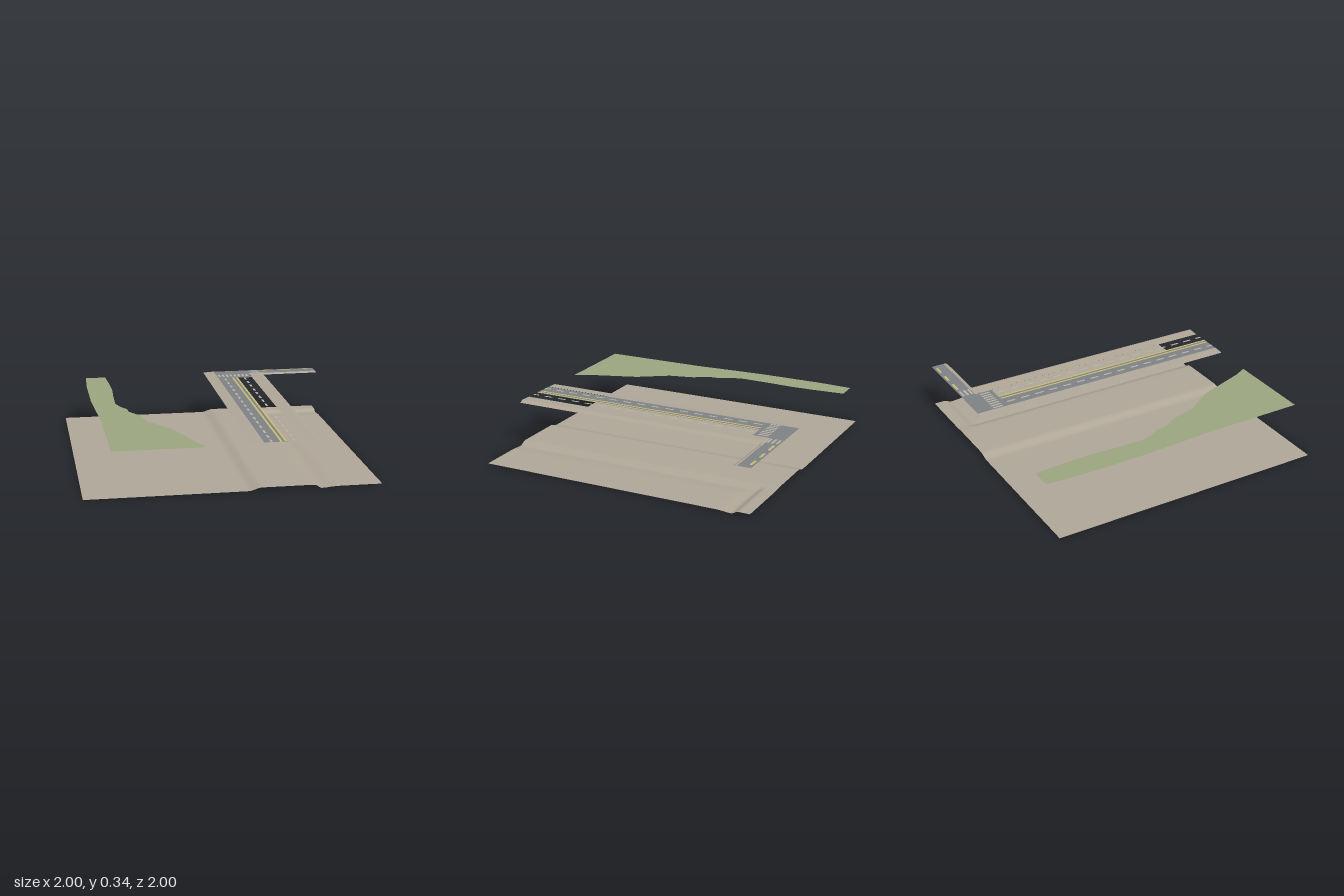
import * as THREE from 'three';

const mat = (name, color) => {
  const m = new THREE.MeshStandardMaterial({ color, side: THREE.DoubleSide });
  m.name = name;
  return m;
};

export function createModel() {
  const model = new THREE.Group();
  const tan = mat('earthTan', 0xb1a899);
  const asphalt = mat('asphaltGrey', 0x7f8386);
  const grass = mat('grassGreen', 0x9ca781);
  const yellow = mat('lineYellow', 0xc9bd74);
  const pale = mat('markingPale', 0xb9b2a4);
  const ROAD = 0.335, MARK = 0.3375;

  const add = (name, geometry, material, parent = model) => {
    const mesh = new THREE.Mesh(geometry, material);
    mesh.name = name;
    parent.add(mesh);
    return mesh;
  };
  // Flat horizontal sheet from [x, z] corners
  const sheet = (points, y) => {
    const shape = new THREE.Shape(points.map(([x, z]) => new THREE.Vector2(x, -z)));
    return new THREE.ShapeGeometry(shape).rotateX(-Math.PI / 2).translate(0, y, 0);
  };
  const rect = (x0, x1, z0, z1, y) => sheet([[x0, z0], [x1, z0], [x1, z1], [x0, z1]], y);
  // Faceted surface between rows of [x, y, z] points
  const ribbon = (rows) => {
    const n = rows[0].length, index = [];
    for (let r = 0; r < rows.length - 1; r++) {
      for (let i = 0; i < n - 1; i++) {
        const a = r * n + i, b = a + n;
        index.push(a, b, a + 1, b, b + 1, a + 1);
      }
    }
    const g = new THREE.BufferGeometry();
    g.setAttribute('position', new THREE.Float32BufferAttribute(rows.flat(2), 3));
    g.setIndex(index);
    const flat = g.toNonIndexed();
    flat.computeVertexNormals();
    return flat;
  };

  // Terrain: raised bed under the roads, shallow ditch, low field on the right
  const step = THREE.MathUtils.smoothstep;
  const ground = new THREE.PlaneGeometry(2, 2, 120, 120).rotateX(-Math.PI / 2);
  const p = ground.attributes.position;
  for (let i = 0; i < p.count; i++) {
    const x = p.getX(i), z = p.getZ(i);
    const inField = Math.min(x - 0.54, z + 0.915);
    const bed = 0.005 + 0.021 * step(x, 0.09, 0.18) - 0.005 * step(x, 0.5, 0.6);
    const field = 0.001 + 0.008 * step(inField, 0.04, 0.16);
    p.setY(i, THREE.MathUtils.lerp(bed, field, step(inField, 0, 0.045)));
  }
  ground.computeVertexNormals();
  add('ground', ground, tan);

  // Grass layer
  add('grassArea', sheet([
    [-0.83, -1], [-0.845, -0.75], [-0.845, -0.3], [-0.83, 0], [-0.815, 0.25], [-0.81, 1],
    [-0.18, 1], [-0.23, 0.9], [-0.35, 0.55], [-0.49, 0.34], [-0.535, 0.16], [-0.6, 0.05],
    [-0.605, -0.02], [-0.65, -0.1], [-0.675, -0.19], [-0.67, -0.38], [-0.66, -0.6],
    [-0.665, -0.77], [-0.68, -1],
  ], 0.322), grass);

  // Asphalt: main lanes, junction and side road
  add('road', sheet([
    [0.19, -1], [1, -1], [1, -0.905], [0.455, -0.9], [0.455, -0.77], [0.345, -0.77],
    [0.345, 1], [0.19, 1],
  ], ROAD), asphalt);

  // Verges on both sides
  add('leftVerge', ribbon([
    [[0.105, 0.331, 1], [0.105, 0.331, -1]],
    [[0.19, 0.336, 1], [0.19, 0.336, -1]],
  ]), tan);
  add('rightSidewalk', ribbon([
    [[0.455, 0.337, 1], [0.455, 0.337, -0.9], [0.6, 0.335, -0.905], [1, 0.335, -0.905]],
    [[0.54, 0.341, 1], [0.54, 0.341, -0.885], [0.6, 0.335, -0.89], [1, 0.334, -0.89]],
    [[0.572, 0.326, 1], [0.572, 0.326, -0.872], [0.6, 0.326, -0.875], [1, 0.327, -0.875]],
  ]), tan);

  // Road markings
  const markings = new THREE.Group();
  markings.name = 'roadMarkings';
  model.add(markings);
  for (const x of [0.297, 0.329]) {
    add('centreLine', rect(x, x + 0.015, -0.77, 1, MARK), yellow, markings);
  }
  for (const x of [0.24, 0.395]) {
    for (let i = 0; i < 16; i++) {
      const z = -0.75 + i * 0.1135;
      add('laneDash', rect(x - 0.008, x + 0.008, z, Math.min(z + 0.064, 1), MARK), pale, markings);
    }
  }
  for (let i = 0; i < 8; i++) {
    const x = 0.2 + i * 0.0312;
    add('crossingBar', rect(x, x + 0.016, -0.875, -0.8, MARK), pale, markings);
  }
  for (const z of [-0.98, -0.948, -0.915]) {
    add('sideCrossingBar', rect(0.465, 0.545, z - 0.008, z + 0.008, MARK), pale, markings);
  }
  for (const [x0, x1] of [[0.575, 0.67], [0.735, 0.81], [0.875, 0.955]]) {
    add('sideRoadDash', rect(x0, x1, -0.988, -0.97, MARK), yellow, markings);
  }
  return model;
}
